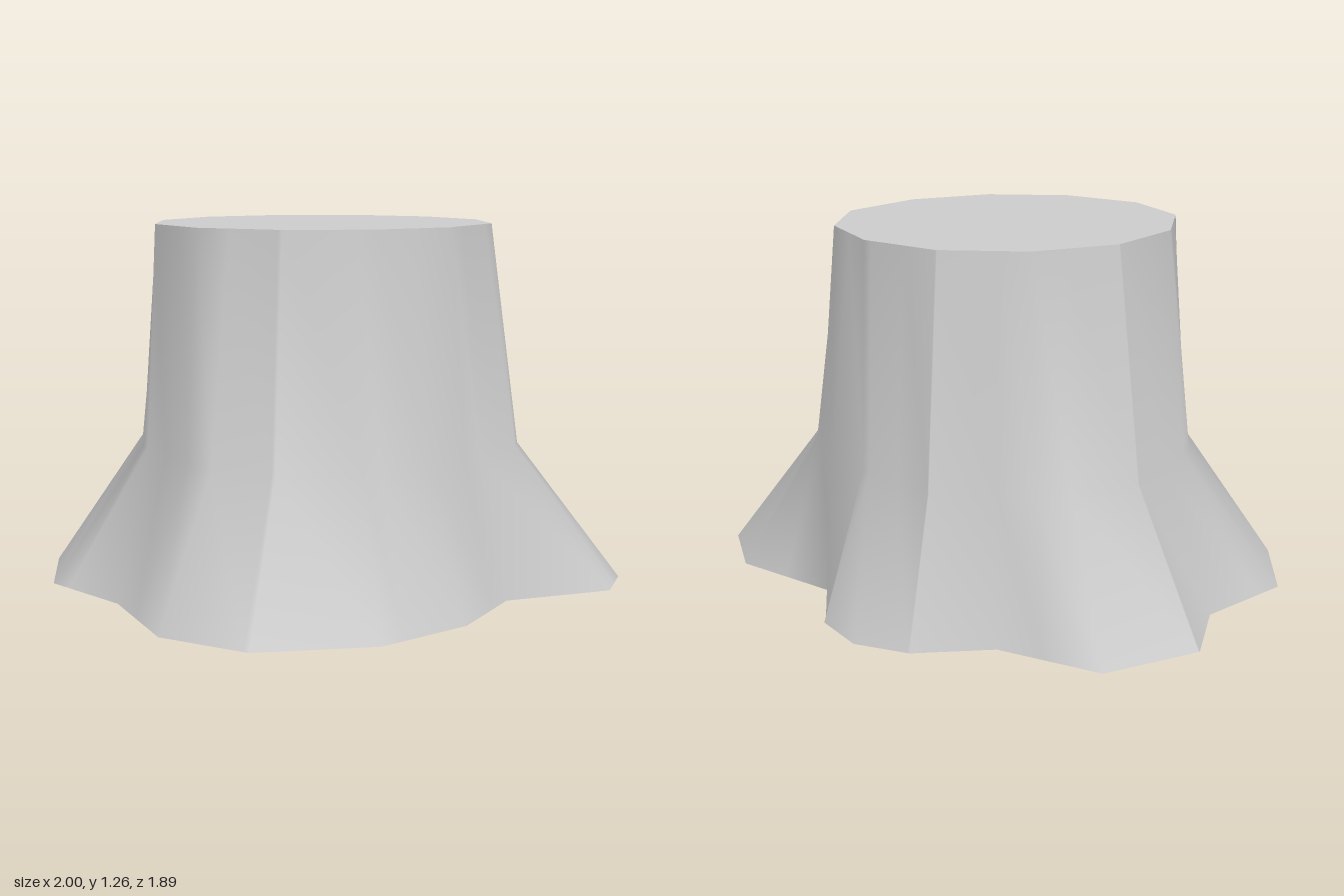
import * as THREE from 'three';

// Ring outlines as [x, z] corners, seen from above
const rootRing = [[0.64, -0.82], [0.92, -0.68], [1, -0.49], [0.81, -0.14], [0.89, 0.2], [0.83, 0.56],
  [0.57, 0.88], [0.24, 0.945], [-0.15, 0.76], [-0.52, 0.725], [-0.79, 0.47], [-0.81, 0.1], [-1, -0.15],
  [-0.92, -0.5], [-0.56, -0.63], [-0.4, -0.86], [-0.22, -0.95], [-0.01, -0.92], [0.2, -0.74]];
const waistRing = [[0.2, -0.73], [0.45, -0.62], [0.64, -0.45], [0.72, -0.05], [0.64, 0.35], [0.45, 0.53],
  [0.21, 0.645], [-0.14, 0.56], [-0.46, 0.39], [-0.62, 0.1], [-0.69, -0.12], [-0.58, -0.46],
  [-0.33, -0.71], [-0.05, -0.71]];
const topRing = [[0.03, -0.69], [0.33, -0.6], [0.565, -0.365], [0.635, -0.03], [0.55, 0.27], [0.33, 0.48],
  [0.03, 0.55], [-0.27, 0.45], [-0.49, 0.2], [-0.575, -0.12], [-0.49, -0.42], [-0.27, -0.63]];
const CX = 0.03, CZ = -0.07, TOP = 1.26;

const angleOf = ([x, z]) => Math.atan2(z - CZ, x - CX);

// Point where a ray from the trunk axis meets a ring
function pointAt(ring, angle) {
  const dx = Math.cos(angle), dz = Math.sin(angle);
  let best = 0;
  ring.forEach(([x1, z1], i) => {
    const [x2, z2] = ring[(i + 1) % ring.length];
    const ex = x2 - x1, ez = z2 - z1, px = x1 - CX, pz = z1 - CZ;
    const det = dx * ez - dz * ex;
    if (Math.abs(det) < 1e-9) return;
    const r = (px * ez - pz * ex) / det;
    const s = (px * dz - pz * dx) / det;
    if (r > 0 && s > -1e-6 && s < 1 + 1e-6) best = Math.max(best, r);
  });
  return [CX + dx * best, CZ + dz * best];
}

export function createModel() {
  const group = new THREE.Group();
  group.name = 'stump';
  const grey = new THREE.MeshStandardMaterial({ color: 0xcccccc, side: THREE.DoubleSide });
  grey.name = 'light grey';

  // Trunk wall: open below, flaring into root lobes
  const angles = [...rootRing, ...topRing].map(angleOf).sort((a, b) => a - b);
  const levels = [[rootRing, 0], [waistRing, 0.48], [topRing, TOP]];
  const n = angles.length, positions = [], index = [];
  levels.forEach(([ring, y], k) => {
    angles.forEach((angle, i) => {
      const [x, z] = pointAt(ring, angle);
      positions.push(x, y, z);
      if (k === 0) return;
      const j = (i + 1) % n, low = (k - 1) * n, high = k * n;
      index.push(low + i, high + i, high + j, low + i, high + j, low + j);
    });
  });
  const wall = new THREE.BufferGeometry();
  wall.setAttribute('position', new THREE.Float32BufferAttribute(positions, 3));
  wall.setIndex(index);
  wall.computeVertexNormals();
  const trunk = new THREE.Mesh(wall, grey);
  trunk.name = 'trunk';

  // Flat cut face
  const outline = new THREE.Shape(topRing.map(([x, z]) => new THREE.Vector2(x, -z)));
  const cutFace = new THREE.Mesh(new THREE.ShapeGeometry(outline).rotateX(-Math.PI / 2), grey);
  cutFace.position.y = TOP;
  cutFace.name = 'cutTop';

  group.add(trunk, cutFace);
  return group;
}
